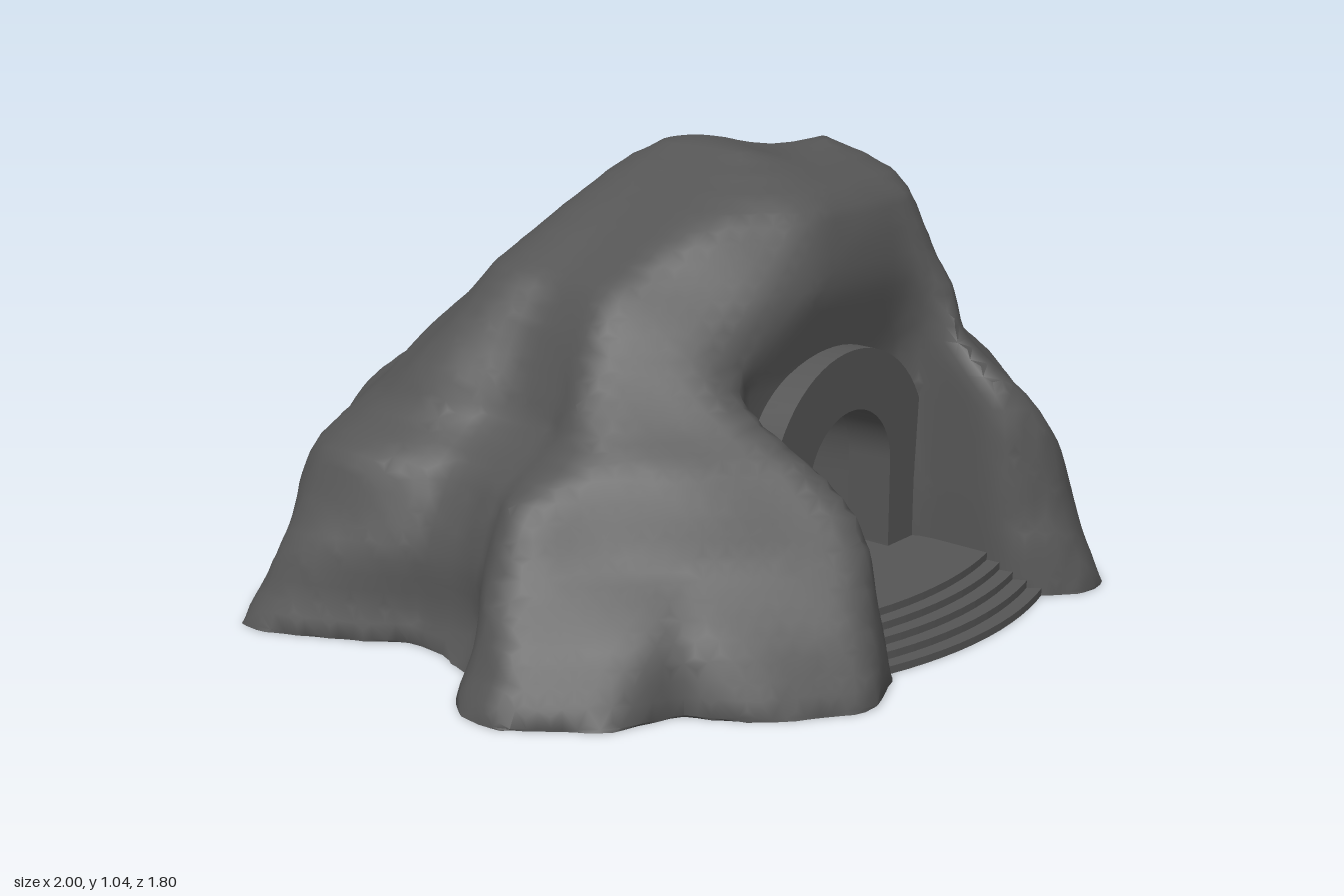
import * as THREE from 'three';
import { toCreasedNormals } from 'three/addons/utils/BufferGeometryUtils.js';

const stone = new THREE.MeshStandardMaterial({ color: 0x555555 });
stone.name = 'dark grey stone';

// piecewise-linear lookup in [[key, value], ...]
function lerpTable(table, k) {
  if (k <= table[0][0]) return table[0][1];
  for (let i = 1; i < table.length; i++) {
    const [a, va] = table[i - 1], [b, vb] = table[i];
    if (k <= b) return va + (vb - va) * (k - a) / (b - a);
  }
  return table[table.length - 1][1];
}
const smoothMax = (a, b, k) => {
  const h = Math.max(k - Math.abs(a - b), 0) / k;
  return Math.max(a, b) + h * h * k / 4;
};

// extent of the mound along -x, +x, +z, -z by height
const LEFT = [[0, 1.01], [0.08, 0.95], [0.2, 0.92], [0.4, 0.8], [0.48, 0.64], [0.68, 0.51], [0.78, 0.43], [0.9, 0.21], [1.03, -0.03], [1.1, -0.1]];
const RIGHT = [[0, 1.01], [0.12, 0.93], [0.2, 0.93], [0.42, 0.87], [0.53, 0.77], [0.63, 0.61], [0.75, 0.53], [0.97, 0.5], [1.04, 0.4], [1.1, 0.3]];
const FRONT = [[0, 0.91], [0.2, 0.84], [0.4, 0.79], [0.53, 0.74], [0.7, 0.61], [0.78, 0.52], [0.94, 0.42], [1.04, 0.22], [1.1, 0.15]];
const BACK = [[0, 0.92], [0.12, 0.84], [0.26, 0.84], [0.46, 0.71], [0.6, 0.55], [0.72, 0.39], [0.8, 0.35], [0.98, 0.21], [1.04, 0.13], [1.1, 0.1]];

// extent towards the four corners by height: [sign x, sign z, table]
const CORNERS = [
  [-1, 1, [[0, 1.02], [0.13, 0.93], [0.28, 0.79], [0.46, 0.68], [0.57, 0.58], [0.68, 0.47], [0.95, 0.28], [1.04, 0.12]]],
  [1, -1, [[0, 1.02], [0.22, 0.92], [0.47, 0.73], [0.5, 0.65], [0.64, 0.47], [0.9, 0.32], [1.04, 0.17]]],
  [1, 1, [[0, 1.03], [0.33, 0.92], [0.45, 0.84], [0.59, 0.7], [0.8, 0.65], [0.95, 0.61], [1.04, 0.47]]],
  [-1, -1, [[0, 1.04], [0.23, 0.93], [0.38, 0.9], [0.62, 0.65], [0.82, 0.38], [1.01, 0.15]]],
];

// lobed ground outline (x, z), stored as radius by angle
const OUTLINE = [
  [-0.33, -0.89], [-0.52, -0.82], [-0.62, -0.68], [-0.85, -0.56], [-0.96, -0.48], [-0.95, -0.38],
  [-0.86, -0.2], [-0.78, -0.1], [-0.78, 0.01], [-0.82, 0.12], [-0.97, 0.24], [-1, 0.35],
  [-0.87, 0.57], [-0.7, 0.6], [-0.6, 0.77], [-0.42, 0.91], [-0.25, 0.83], [0.38, 0.83],
  [0.48, 0.9], [0.6, 0.9], [0.75, 0.7], [0.9, 0.55], [0.95, 0.46], [0.86, 0.35], [0.9, 0.1],
  [0.99, -0.15], [0.99, -0.4], [0.88, -0.5], [0.7, -0.6], [0.7, -0.76], [0.66, -0.86], [0.58, -0.91], [0.42, -0.82],
].map(([x, z]) => [Math.atan2(z / 0.905, x), Math.hypot(x, z / 0.905)]).sort((a, b) => a[0] - b[0]);
const firstLobe = OUTLINE[0], lastLobe = OUTLINE[OUTLINE.length - 1];
OUTLINE.unshift([lastLobe[0] - 2 * Math.PI, lastLobe[1]]);
OUTLINE.push([firstLobe[0] + 2 * Math.PI, firstLobe[1]]);

// rock field: negative inside
function rock(x, y, z) {
  const h = Math.max(y, 0);
  const cx = 0.2 * h, cz = 0.03 * h;
  const dx = x - cx, dz = z - cz;
  const xn = dx / Math.max(0.05, dx > 0 ? lerpTable(RIGHT, h) - cx : lerpTable(LEFT, h) + cx);
  const zn = dz / Math.max(0.05, dz > 0 ? lerpTable(FRONT, h) - cz : lerpTable(BACK, h) + cz);
  const angle = Math.atan2(zn, xn);
  const lobes = lerpTable(OUTLINE, angle);
  // the lobes fade into a rounded square higher up, cut back at its corners
  const square = (Math.abs(Math.cos(angle)) ** 4 + Math.abs(Math.sin(angle)) ** 4) ** -0.25;
  const radius = lobes + (square - lobes) * Math.min(0.85, h * 0.9);
  let f = (Math.hypot(xn, zn) - radius) * 0.65;
  for (const [sx, sz, table] of CORNERS)
    f = smoothMax(f, (sx * x + sz * z) * Math.SQRT1_2 - lerpTable(table, h), 0.06);
  // weathered bumps
  f += 0.01 * Math.sin(9 * x + 5 * y + 1) * Math.sin(8 * z - 6 * y)
     + 0.006 * Math.sin(17 * x - 9 * z) * Math.sin(15 * y + 11 * z + 2);
  f = smoothMax(f, y - 1.03 - 0.015 * Math.sin(14 * x + 9 * z), 0.04);
  // entrance hollows at both ends, with a canopy over the front one
  const front = z > 0;
  const lip = front
    ? 0.42 + 0.06 * x + 0.2 * Math.min(0.2, Math.max(0, h - 0.55))
    : 0.385 - 0.1 * Math.max(0, h - 0.5);
  const depth = lip - Math.abs(z);
  const flare = Math.max(0, h - 0.2) * 0.25;
  const side = x < 0.07 ? 0.275 + flare : 0.27 + flare * (front ? 0.15 : 0.5);
  const hollow = smoothMax(Math.abs(x - 0.07) - side, depth, front ? 0.1 : 0.16);
  f = smoothMax(f, -hollow, 0.09);
  // arched passage, narrowing to the back
  const t = Math.min(1, Math.max(0, (0.4 - z) / 0.78));
  const px = Math.abs(x - 0.065 - 0.02 * t), spring = 0.29 - 0.05 * t;
  const passage = (y < spring ? px : Math.hypot(px, y - spring)) - 0.185 + 0.035 * t;
  f = Math.max(f, -passage);
  return Math.max(f, -y - 0.05);
}

// skin the field with one vertex per crossed cell
function skin(field, min, size, step) {
  const n = size.map(s => Math.ceil(s / step) + 1);
  const id = (i, j, k) => (i * n[1] + j) * n[2] + k;
  const stride = [n[1] * n[2], n[2], 1];
  const value = new Float32Array(n[0] * n[1] * n[2]);
  const cell = new Int32Array(value.length).fill(-1);
  const positions = [], index = [];
  const each = (from, fn) => {
    for (let i = from; i < n[0] - 1; i++)
      for (let j = from; j < n[1] - 1; j++)
        for (let k = from; k < n[2] - 1; k++) fn([i, j, k], id(i, j, k));
  };
  for (let i = 0; i < n[0]; i++)
    for (let j = 0; j < n[1]; j++)
      for (let k = 0; k < n[2]; k++)
        value[id(i, j, k)] = field(min[0] + i * step, min[1] + j * step, min[2] + k * step);
  each(0, (p, o) => {
    const sum = [0, 0, 0];
    let count = 0;
    for (let c = 0; c < 8; c++) {
      const bits = [c & 1, (c >> 1) & 1, (c >> 2) & 1];
      const corner = o + bits[0] * stride[0] + bits[1] * stride[1] + bits[2] * stride[2];
      const a = value[corner];
      for (let axis = 0; axis < 3; axis++) {
        if (bits[axis]) continue;
        const b = value[corner + stride[axis]];
        if ((a < 0) === (b < 0)) continue;
        for (let d = 0; d < 3; d++) sum[d] += bits[d] + (d === axis ? a / (a - b) : 0);
        count++;
      }
    }
    if (!count) return;
    cell[o] = positions.length / 3;
    const v = sum.map((s, d) => min[d] + (p[d] + s / count) * step);
    positions.push(v[0], Math.max(0, v[1]), v[2]);
  });
  each(1, (p, o) => {
    for (let axis = 0; axis < 3; axis++) {
      const inside = value[o] < 0;
      if (inside === (value[o + stride[axis]] < 0)) continue;
      const b = stride[(axis + 1) % 3], c = stride[(axis + 2) % 3];
      const q = [cell[o - b - c], cell[o - c], cell[o], cell[o - b]];
      if (!inside) q.reverse();
      index.push(q[0], q[1], q[2], q[0], q[2], q[3]);
    }
  });
  const geometry = new THREE.BufferGeometry();
  geometry.setAttribute('position', new THREE.Float32BufferAttribute(positions, 3));
  geometry.setIndex(index);
  return toCreasedNormals(geometry, 0.9);
}

// round-headed ring with straight legs
function archGeometry(outer, inner, spring, foot, depth) {
  const shape = new THREE.Shape();
  shape.moveTo(outer, foot);
  shape.lineTo(outer, spring);
  shape.absarc(0, spring, outer, 0, Math.PI, false);
  shape.lineTo(-outer, foot);
  shape.lineTo(-inner, foot);
  shape.lineTo(-inner, spring);
  shape.absarc(0, spring, inner, Math.PI, 0, true);
  shape.lineTo(inner, foot);
  shape.closePath();
  return toCreasedNormals(new THREE.ExtrudeGeometry(shape, { depth, bevelEnabled: false, curveSegments: 16 }), 0.6);
}

// path slab with bowed ends
function slabGeometry(front, back, height) {
  const s = new THREE.Shape();
  s.moveTo(-0.32, -front + 0.05);
  s.quadraticCurveTo(0, -front - 0.05, 0.32, -front + 0.05);
  s.lineTo(0.32, back - 0.05);
  s.quadraticCurveTo(0, back + 0.05, -0.32, back - 0.05);
  s.closePath();
  return new THREE.ExtrudeGeometry(s, { depth: height, bevelEnabled: false, curveSegments: 12 }).rotateX(-Math.PI / 2);
}

export function createModel() {
  const group = new THREE.Group();
  group.name = 'rockTunnel';
  const add = (name, geometry, x = 0, y = 0, z = 0) => {
    const mesh = new THREE.Mesh(geometry, stone);
    mesh.name = name;
    mesh.position.set(x, y, z);
    group.add(mesh);
  };
  add('rockMound', skin(rock, [-1.1, -0.12, -1.06], [2.2, 1.3, 2.12], 0.036));
  add('frontArch', archGeometry(0.305, 0.16, 0.305, 0.02, 0.12), 0.065, 0, 0.37);
  add('backArch', archGeometry(0.215, 0.12, 0.24, 0.02, 0.12), 0.085, 0, -0.44);
  for (let i = 0; i < 5; i++)
    add('step' + (i + 1), slabGeometry(0.73 + i * 0.035, 0.72 + i * 0.035, 0.09 - i * 0.018), 0.08);
  return group;
}
